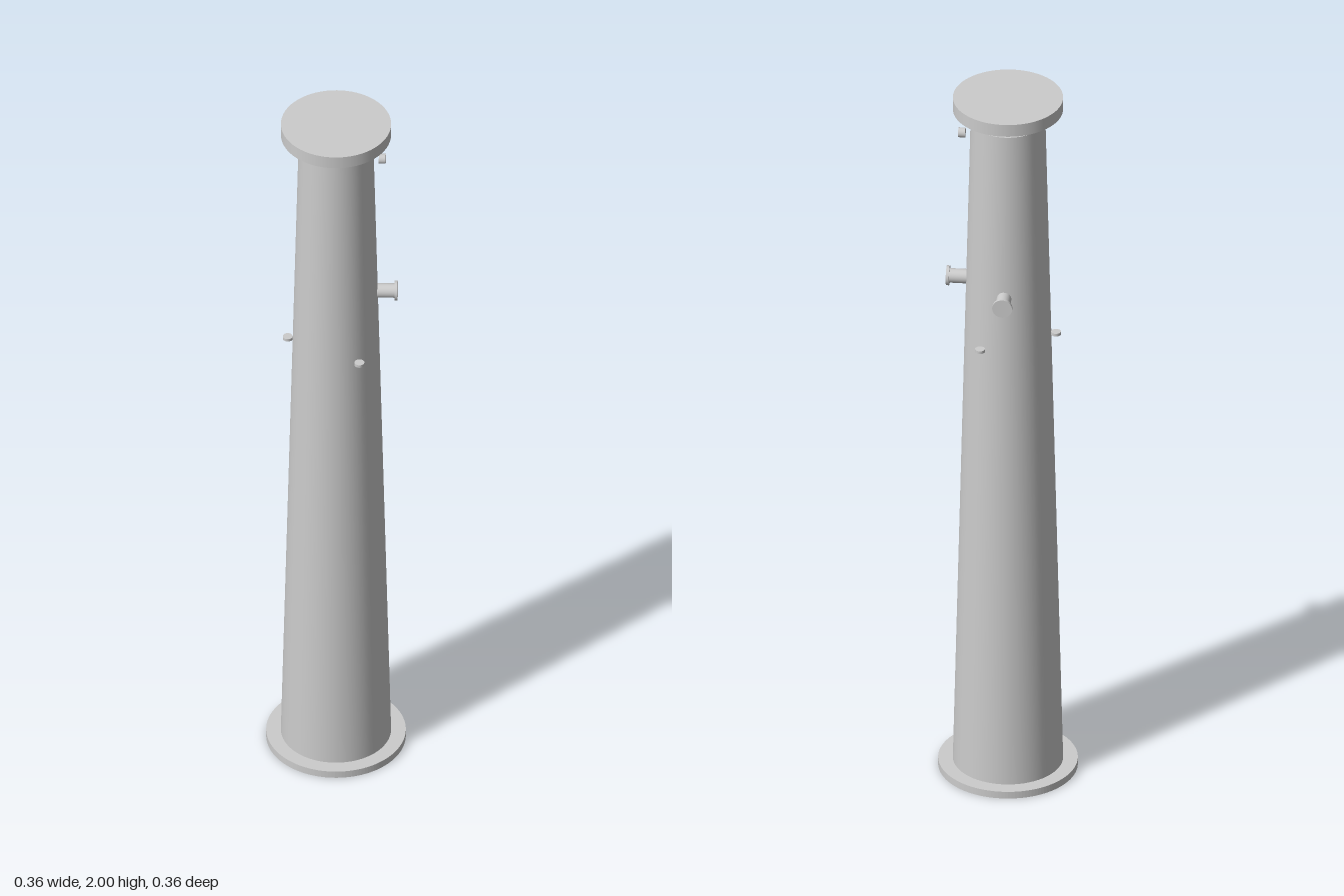
import * as THREE from 'three';

export function createModel() {
  const root = new THREE.Group();
  root.name = 'taperedStack';
  const mat = new THREE.MeshStandardMaterial({ color: 0xcccccc });

  const cylinder = (name, rTop, rBottom, height, segments = 32) => {
    const mesh = new THREE.Mesh(new THREE.CylinderGeometry(rTop, rBottom, height, segments), mat);
    mesh.name = name;
    return mesh;
  };
  // Upright cylinder between two heights
  const upright = (name, rTop, rBottom, y0, y1, segments) => {
    const mesh = cylinder(name, rTop, rBottom, y1 - y0, segments);
    mesh.position.y = (y0 + y1) / 2;
    return mesh;
  };
  // Horizontal cylinder along +x between two distances from the axis
  const radial = (name, r, x0, x1, y) => {
    const mesh = cylinder(name, r, r, x1 - x0);
    mesh.rotation.z = -Math.PI / 2;
    mesh.position.set((x0 + x1) / 2, y, 0);
    return mesh;
  };

  // Base ring
  const ring = new THREE.Shape().absarc(0, 0, 0.181, 0, Math.PI * 2);
  ring.holes.push(new THREE.Path().absarc(0, 0, 0.142, 0, Math.PI * 2, true));
  const ringGeo = new THREE.ExtrudeGeometry(ring, { depth: 0.02, bevelEnabled: false, curveSegments: 64 });
  ringGeo.rotateX(-Math.PI / 2);
  const baseRing = new THREE.Mesh(ringGeo, mat);
  baseRing.name = 'baseRing';
  root.add(baseRing);

  // Tapered shell and the rain cap above it
  root.add(upright('shell', 0.097, 0.143, 0.018, 1.935, 64));
  root.add(upright('rainCap', 0.143, 0.143, 1.965, 2, 64));

  // Four thin posts carrying the cap
  for (let i = 0; i < 4; i++) {
    const a = (i * Math.PI) / 2;
    const post = upright('capPost', 0.004, 0.004, 1.925, 1.97, 12);
    post.position.x = 0.087 * Math.cos(a);
    post.position.z = 0.087 * Math.sin(a);
    root.add(post);
  }

  // Flanged nozzles on the left side and the back
  for (const angle of [0, Math.PI / 2]) {
    const nozzle = new THREE.Group();
    nozzle.name = 'nozzle';
    nozzle.add(radial('nozzlePipe', 0.019, 0.1, 0.155, 1.457));
    nozzle.add(radial('nozzleFlange', 0.026, 0.152, 0.16, 1.457));
    nozzle.rotation.y = angle;
    root.add(nozzle);
  }

  // Small stub near the top
  root.add(radial('stub', 0.013, 0.111, 0.129, 1.888));

  // Three lugs spaced evenly around the shell
  for (let i = 0; i < 3; i++) {
    const a = Math.PI + (i * Math.PI * 2) / 3;
    const lug = upright('lug', 0.013, 0.013, 1.296, 1.304, 24);
    lug.position.x = 0.125 * Math.cos(a);
    lug.position.z = 0.125 * Math.sin(a);
    root.add(lug);
  }

  return root;
}
